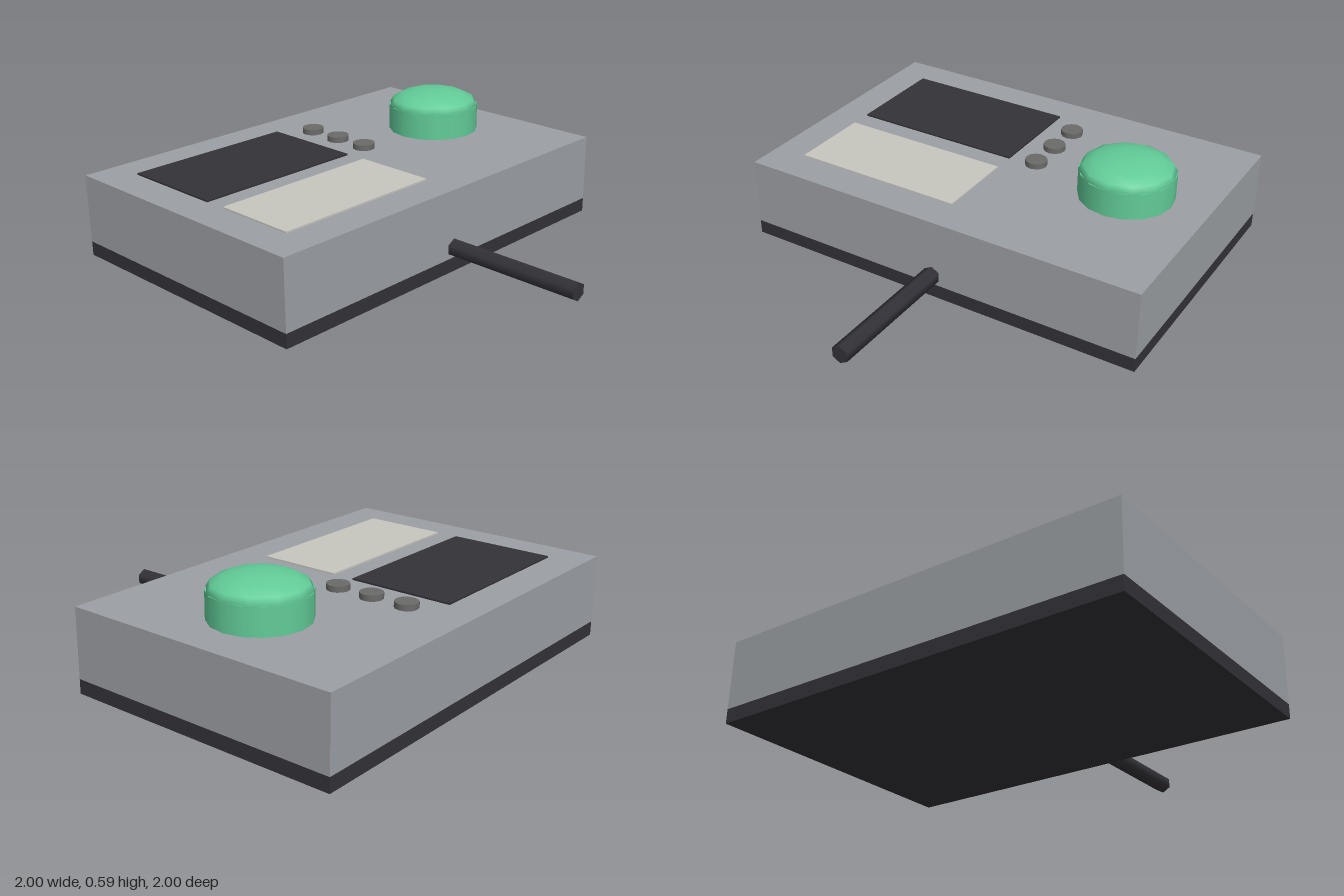
import * as THREE from 'three';

const mat = (name, color) => {
  const m = new THREE.MeshStandardMaterial({ color });
  m.name = name;
  return m;
};

export function createModel() {
  const model = new THREE.Group();
  model.name = 'controlBox';

  const grey = mat('casing grey', 0x9c9fa4);
  const dark = mat('dark plastic', 0x333238);
  const cream = mat('label cream', 0xc7c7c0);
  const knobGrey = mat('button grey', 0x6b6b6a);
  const green = mat('dome green', 0x62cc98);

  const add = (name, geometry, material, x, y, z) => {
    const mesh = new THREE.Mesh(geometry, material);
    mesh.name = name;
    mesh.position.set(x, y, z);
    model.add(mesh);
    return mesh;
  };
  // Box given by its lower and upper bounds
  const box = (name, material, x0, x1, y0, y1, z0, z1) =>
    add(name, new THREE.BoxGeometry(x1 - x0, y1 - y0, z1 - z0), material,
      (x0 + x1) / 2, (y0 + y1) / 2, (z0 + z1) / 2);

  // Casing on its dark base
  const top = 0.39;
  box('base', dark, -1, 1, 0, 0.067, -1, 0.333);
  box('casing', grey, -1, 1, 0.067, top, -1, 0.333);

  // Screen and label plates on the top face
  box('screen', dark, -0.835, 0, top, top + 0.008, -0.835, -0.335);
  box('label', cream, -0.835, 0, top, top + 0.008, -0.23, 0.165);

  // Row of three small buttons
  for (const z of [-0.713, -0.535, -0.358]) {
    add('button', new THREE.CylinderGeometry(0.053, 0.053, 0.027, 12), knobGrey, 0.133, top + 0.0135, z);
  }

  // Big push button: round collar with a shallow dome
  add('domeCollar', new THREE.CylinderGeometry(0.221, 0.221, 0.125, 16), green, 0.61, top + 0.0625, -0.335);
  const dome = add('dome', new THREE.SphereGeometry(0.221, 12, 4, 0, Math.PI * 2, 0, Math.PI / 2),
    green, 0.61, top + 0.125, -0.335);
  dome.scale.y = 0.34;

  // Six-sided cable leaving the front
  const cable = add('cable', new THREE.CylinderGeometry(0.043, 0.043, 0.677, 6), dark, 0, 0.115, 0.6615);
  cable.rotation.x = Math.PI / 2;

  return model;
}
